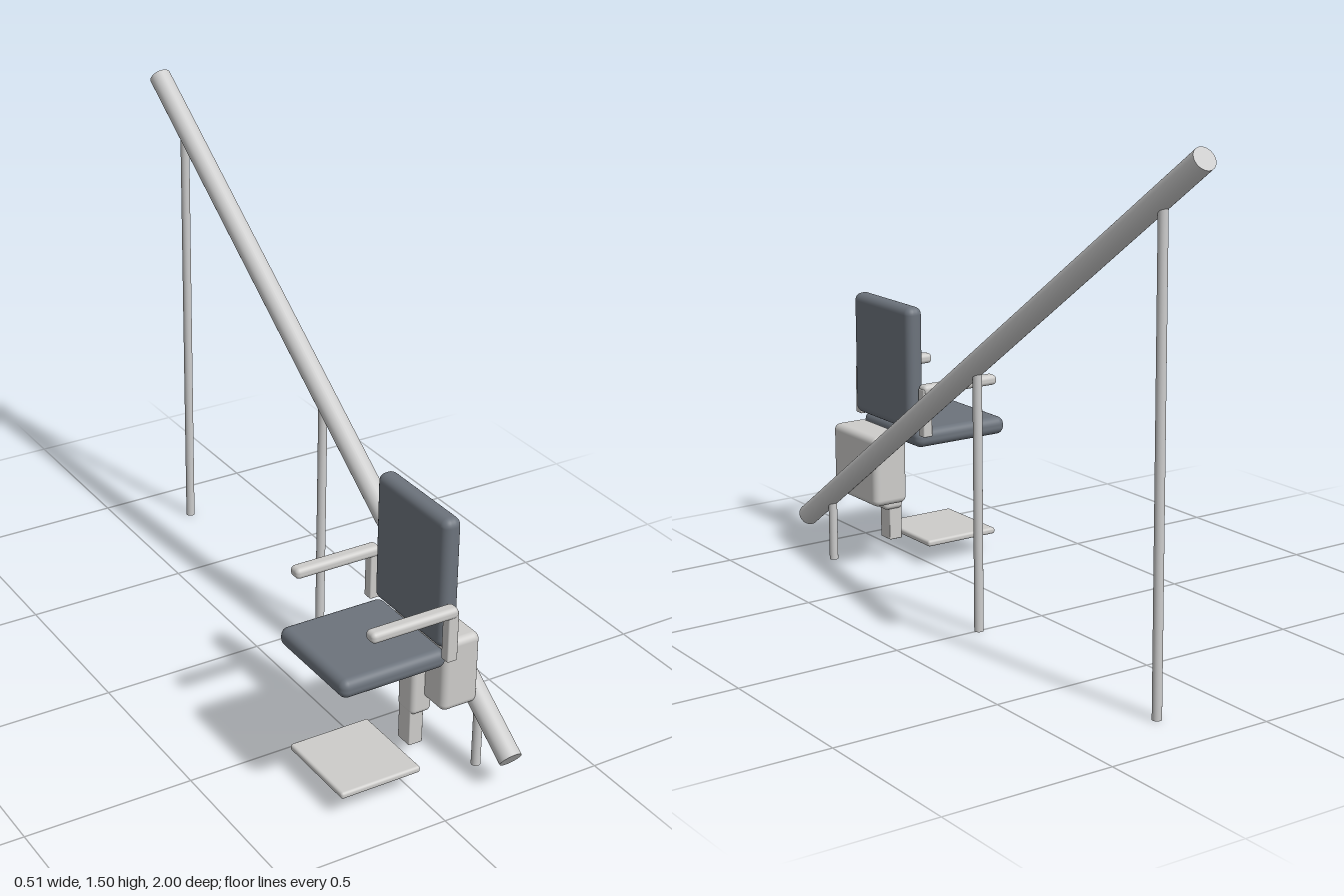
import * as THREE from 'three';
import { RoundedBoxGeometry } from 'three/addons/geometries/RoundedBoxGeometry.js';

export function createModel() {
  const model = new THREE.Group();
  model.name = 'stairLift';

  const upholstery = new THREE.MeshStandardMaterial({ name: 'slate upholstery', color: 0x6c737c });
  const plastic = new THREE.MeshStandardMaterial({ name: 'light grey plastic', color: 0xcdccca });
  const metal = new THREE.MeshStandardMaterial({ name: 'rail metal', color: 0xcccccc });

  // Rounded box given by its extents along each axis
  function box(name, [x0, x1], [y0, y1], [z0, z1], radius, material) {
    const geometry = new RoundedBoxGeometry(x1 - x0, y1 - y0, z1 - z0, 4, radius);
    const mesh = new THREE.Mesh(geometry, material);
    mesh.name = name;
    mesh.position.set((x0 + x1) / 2, (y0 + y1) / 2, (z0 + z1) / 2);
    model.add(mesh);
  }

  // Cylinder running between two points
  function rod(name, from, to, radius) {
    const axis = to.clone().sub(from);
    const mesh = new THREE.Mesh(new THREE.CylinderGeometry(radius, radius, axis.length(), 32), metal);
    mesh.name = name;
    mesh.position.copy(from).add(to).multiplyScalar(0.5);
    mesh.quaternion.setFromUnitVectors(new THREE.Vector3(0, 1, 0), axis.normalize());
    model.add(mesh);
  }

  // Sloping rail and its floor posts
  const railX = 0.222;
  const railLow = new THREE.Vector3(railX, 0.107, 0.981);
  const railHigh = new THREE.Vector3(railX, 1.476, -0.981);
  rod('rail', railLow, railHigh, 0.033);
  for (const z of [0.825, 0, -0.825]) {
    const top = railLow.clone().lerp(railHigh, (railLow.z - z) / (railLow.z - railHigh.z));
    rod('railPost', new THREE.Vector3(railX, 0, z), top, 0.0135);
  }

  // Carriage riding on the rail
  box('carriage', [0.088, 0.206], [0.219, 0.439], [0.591, 0.843], 0.02, plastic);

  // Column under the seat, with the footrest and its stem
  box('column', [0.048, 0.115], [0.172, 0.41], [0.682, 0.757], 0.015, plastic);
  box('footrestStem', [0.049, 0.093], [0.072, 0.3], [0.692, 0.748], 0.003, plastic);
  box('footrest', [-0.235, 0.017], [0.061, 0.081], [0.585, 0.855], 0.008, plastic);

  // Cushions
  box('seat', [-0.257, 0.071], [0.394, 0.45], [0.555, 0.884], 0.024, upholstery);
  box('backrest', [0.044, 0.101], [0.453, 0.839], [0.556, 0.883], 0.024, upholstery);

  // Armrests, one on each side of the seat
  const seatZ = 0.7195;
  for (const side of [-1, 1]) {
    const span = (a, b) => [seatZ + side * a, seatZ + side * b].sort((p, q) => p - q);
    box('armrest', [-0.197, 0.071], [0.57, 0.602], span(0.166, 0.207), 0.013, plastic);
    box('armrestPost', [0.041, 0.073], [0.439, 0.59], span(0.171, 0.202), 0.004, plastic);
  }

  return model;
}
